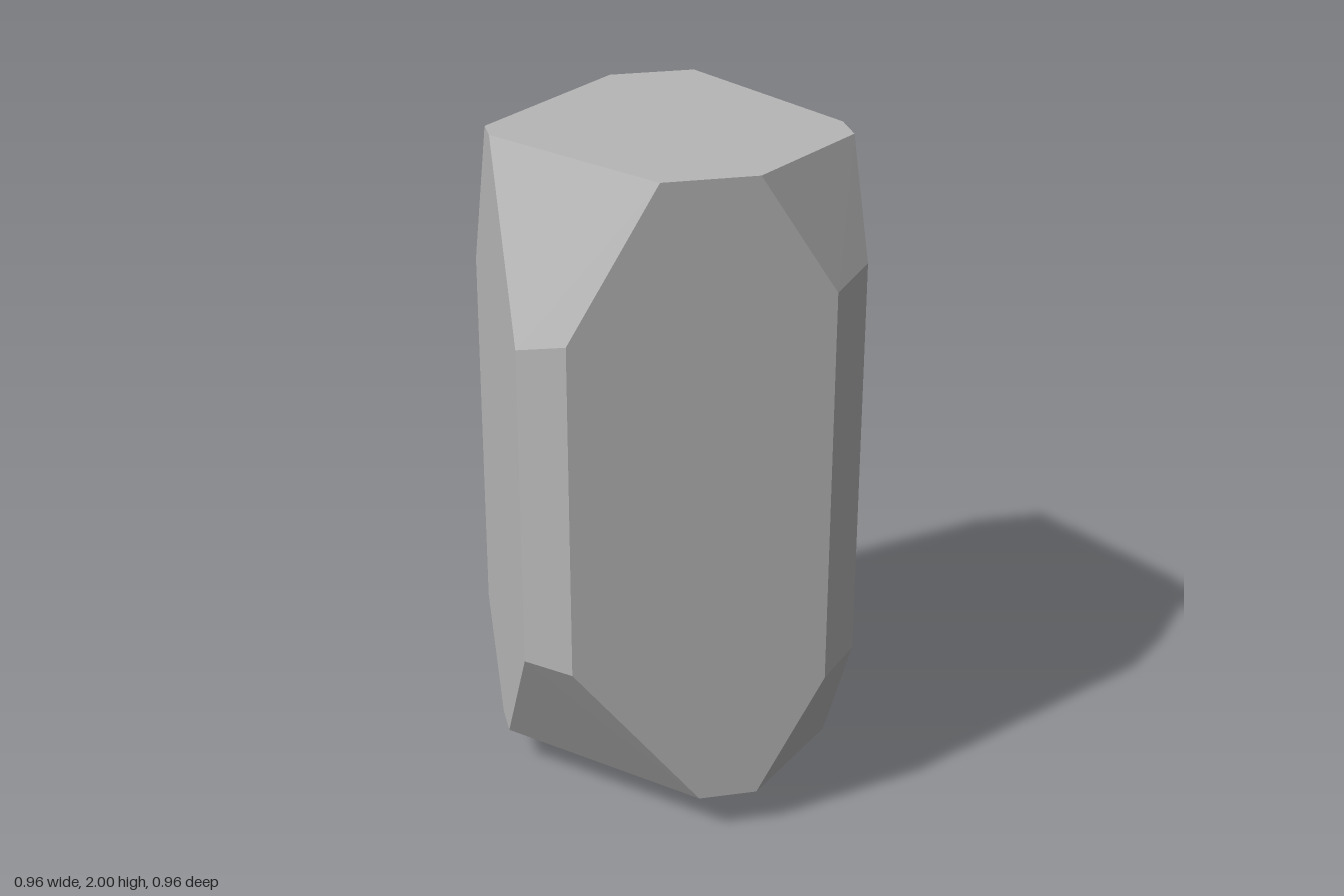
import * as THREE from 'three';
import { ConvexGeometry } from 'three/addons/geometries/ConvexGeometry.js';

const HALF = 0.48;    // half width of the square column
const BEVEL = 0.365;  // where the corner bevels begin

// A horizontal ring of [x, z] points at height y
const ring = (y, points) => points.map(([x, z]) => new THREE.Vector3(x, y, z));

export function createModel() {
  const group = new THREE.Group();
  group.name = 'cutStone';
  const stone = new THREE.MeshStandardMaterial({ color: 0xb6b6b6, flatShading: true });
  stone.name = 'stone grey';

  // Flat top and flat foot
  const points = [
    ...ring(2, [[-0.055, -HALF], [0.195, -HALF], [HALF, 0.09], [HALF, 0.2],
      [0.15, HALF], [-0.115, HALF], [-HALF, 0], [-HALF, -0.08]]),
    ...ring(0, [[0.22, -0.03], [0.22, -0.08], [0.07, -0.22], [-0.02, -0.22],
      [-0.2, -0.09], [-0.2, 0], [0, 0.2], [0.08, 0.19]]),
  ];

  // Bevelled corners: signs of x and z, then [bottom, top] of the edge
  // on the z face and of the edge on the x face
  const corners = [
    [1, 1, [0.48, 1.66], [0.5, 1.69]],
    [-1, 1, [0.58, 1.57], [0.575, 1.525]],
    [1, -1, [0.39, 1.56], [0.342, 1.41]],
    [-1, -1, [0.39, 1.505], [0.39, 1.51]],
  ];
  for (const [sx, sz, zEdge, xEdge] of corners) {
    for (const y of zEdge) points.push(new THREE.Vector3(sx * BEVEL, y, sz * HALF));
    for (const y of xEdge) points.push(new THREE.Vector3(sx * HALF, y, sz * BEVEL));
  }

  // Lower girdle, where the sides turn in towards the foot
  points.push(
    ...ring(0.12, [[0, HALF], [0.17, HALF], [-HALF, 0], [-HALF, -0.11],
      [-0.095, -HALF], [0.45, -0.165]]),
    ...ring(0.055, [[HALF, 0.1]]),
    ...ring(0.215, [[0.08, -HALF]]),
  );

  const body = new THREE.Mesh(new ConvexGeometry(points), stone);
  body.name = 'facetedStone';
  group.add(body);
  return group;
}
